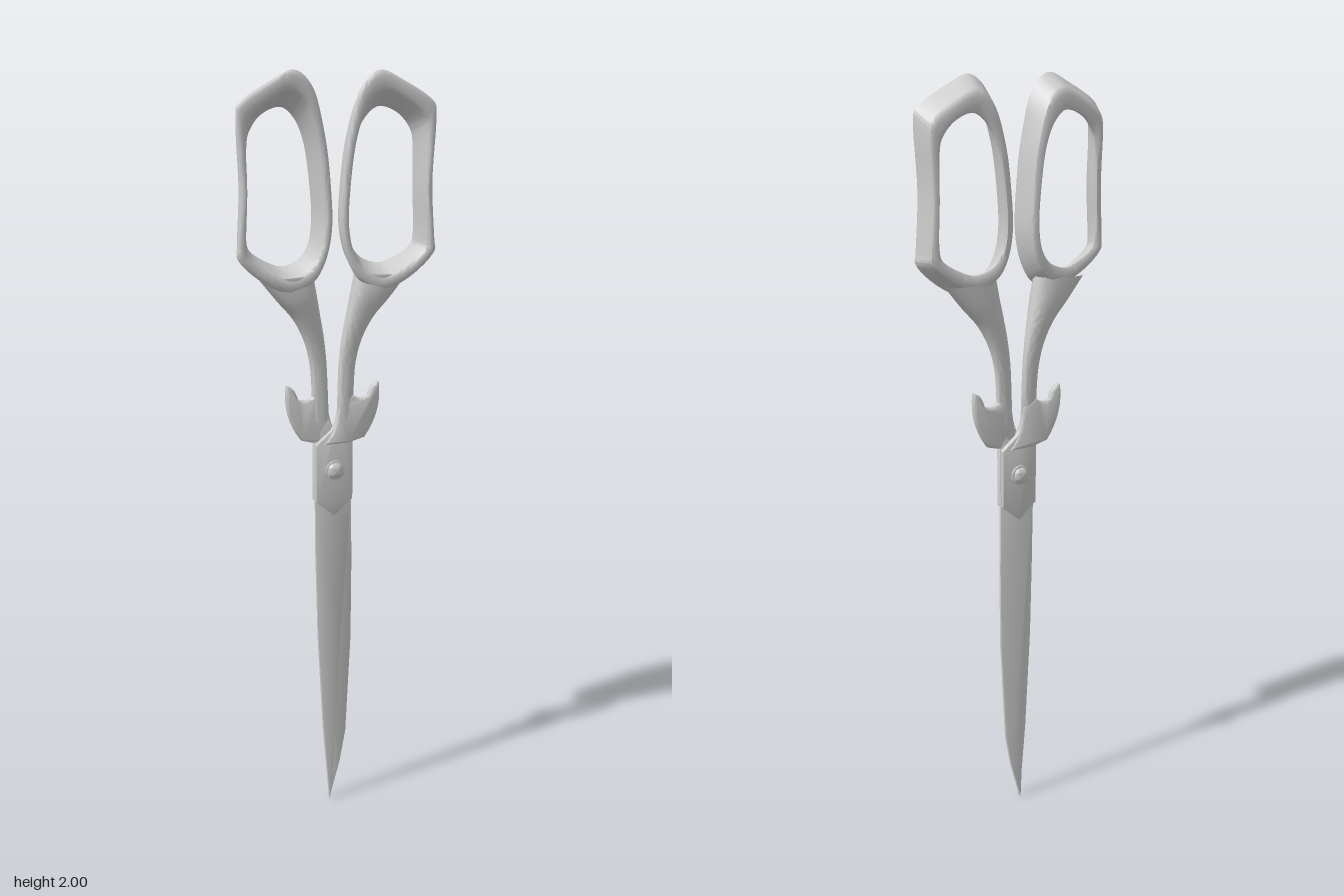
import * as THREE from 'three';
import { toCreasedNormals } from 'three/addons/utils/BufferGeometryUtils.js';

const MID = -0.012; // plane where the two halves touch
const material = new THREE.MeshStandardMaterial({ color: 0xcccccc, side: THREE.DoubleSide });

function part(name, geometry, crease = 0.6) {
  const mesh = new THREE.Mesh(toCreasedNormals(geometry, crease), material);
  mesh.name = name;
  return mesh;
}

// Skin over a list of rings of points; side = -1 mirrors it in x
function loft(rings, closed, side, shiftZ) {
  const n = rings[0].length, pos = [], index = [];
  rings.forEach(r => r.forEach(p => pos.push(p[0] * side, p[1], p[2] + shiftZ)));
  const count = closed ? rings.length : rings.length - 1;
  for (let i = 0; i < count; i++) {
    for (let j = 0; j < n; j++) {
      const i2 = (i + 1) % rings.length, j2 = (j + 1) % n;
      const a = i * n + j, b = i * n + j2, c = i2 * n + j, d = i2 * n + j2;
      if (side > 0) index.push(a, b, c, b, d, c);
      else index.push(a, c, b, b, c, d);
    }
  }
  const g = new THREE.BufferGeometry();
  g.setAttribute('position', new THREE.Float32BufferAttribute(pos, 3));
  g.setIndex(index);
  g.computeVertexNormals();
  return g;
}

// Flat part with bevelled edges between z0 and z1
function slab(shape, z0, z1, bevel) {
  const g = new THREE.ExtrudeGeometry(shape, {
    depth: z1 - z0 - 2 * bevel, bevelEnabled: true, bevelThickness: bevel,
    bevelSize: bevel, bevelOffset: -bevel, bevelSegments: 2, curveSegments: 8,
  });
  return g.translate(0, 0, z0 + bevel);
}
const polygon = (pts, side = 1) => new THREE.Shape(pts.map(([x, y]) => new THREE.Vector2(x * side, y)));

// Finger loop: outer x, y and inner x, y at stations around the ring
const LOOP = [
  [0.11, 2.0, 0.13, 1.91], [0.17, 1.977, 0.185, 1.89], [0.26, 1.92, 0.216, 1.85],
  [0.265, 1.9, 0.222, 1.825], [0.256, 1.72, 0.225, 1.7], [0.265, 1.57, 0.227, 1.585],
  [0.267, 1.545, 0.22, 1.558], [0.195, 1.478, 0.17, 1.525], [0.12, 1.45, 0.13, 1.513],
  [0.06, 1.475, 0.08, 1.53], [0.03, 1.52, 0.055, 1.565], [0.01, 1.6, 0.045, 1.62],
  [0.013, 1.72, 0.048, 1.7], [0.03, 1.85, 0.068, 1.83], [0.065, 1.965, 0.095, 1.885],
];
// Loop cross-section: share of the way from outer to inner, share from back to front
const SECTION = [
  [0, 0.88], [0.05, 0.96], [0.16, 1], [0.42, 1], [0.54, 0.95], [0.6, 0.86],
  [1, 0.14], [0.98, 0.05], [0.88, 0], [0.58, 0], [0.42, 0.05], [0.36, 0.14],
];
function loopGeometry(side, shiftZ) {
  const curve = k => new THREE.CatmullRomCurve3(
    LOOP.map(p => new THREE.Vector3(p[k], p[k + 1], 0)), true, 'centripetal');
  const outer = curve(0), inner = curve(2), rings = [], N = LOOP.length * 6;
  for (let i = 0; i < N; i++) {
    const o = outer.getPoint(i / N), q = inner.getPoint(i / N);
    const front = 0.034 + 0.06 * Math.min(o.x, 0.18), back = -0.036 + 0.06 * o.x;
    rings.push(SECTION.map(([t, f]) => [
      o.x + (q.x - o.x) * t, o.y + (q.y - o.y) * t, back + (front - back) * f]));
  }
  return loft(rings, true, side, shiftZ);
}

// Shank: inner edge x, y, front z, then outer edge x, y, back z
const SHANK = [
  [0.056, 1.492, 0.04, 0.2, 1.485, -0.03], [0.046, 1.44, 0.038, 0.15, 1.425, -0.029],
  [0.036, 1.39, 0.028, 0.106, 1.375, -0.025], [0.024, 1.33, 0.018, 0.077, 1.32, -0.02],
  [0.015, 1.26, 0.011, 0.061, 1.26, -0.016], [0.011, 1.18, 0.009, 0.055, 1.18, -0.013],
  [0.008, 1.1, 0.008, 0.055, 1.1, -0.012],
];
function shankGeometry(side, shiftZ) {
  const curve = k => new THREE.CatmullRomCurve3(
    SHANK.map(p => new THREE.Vector3(p[k], p[k + 1], p[k + 2])));
  const inner = curve(0), outer = curve(3), rings = [], N = 36, M = 24;
  const soft = v => Math.sign(v) * Math.abs(v) ** 0.8;
  for (let i = 0; i <= N; i++) {
    const a = inner.getPoint(i / N), b = outer.getPoint(i / N), ring = [];
    for (let j = 0; j < M; j++) {
      const w = 2 * Math.PI * j / M, c = (1 + soft(Math.cos(w))) / 2, s = (1 + soft(Math.sin(w))) / 2;
      ring.push([a.x + (b.x - a.x) * c, a.y + (b.y - a.y) * c, b.z + (a.z - b.z) * s]);
    }
    rings.push(ring);
  }
  return loft(rings, false, side, shiftZ);
}

// Curved spur beside the pivot
function spurShape(s) {
  const shape = new THREE.Shape();
  shape.moveTo(0.012 * s, 1.15);
  shape.lineTo(0.05 * s, 1.172);
  shape.quadraticCurveTo(0.07 * s, 1.152, 0.095 * s, 1.164);
  shape.quadraticCurveTo(0.105 * s, 1.2, 0.126 * s, 1.202);
  shape.quadraticCurveTo(0.138 * s, 1.12, 0.085 * s, 1.052);
  shape.lineTo(0.04 * s, 1.04);
  shape.lineTo(-0.03 * s, 1.04);
  shape.quadraticCurveTo(0.008 * s, 1.08, 0.012 * s, 1.15);
  return shape;
}

const PLATE = [[-0.052, 1.04], [-0.052, 0.885], [0, 0.842], [0.052, 0.885], [0.052, 1.05],
  [0.012, 1.11], [-0.008, 1.075]];

// Blade outlines: spine down to the tip, then the cutting edge back up
const FRONT_BLADE = [[-0.052, 0.92], [-0.051, 0.75], [-0.045, 0.5], [-0.03, 0.22], [-0.011, 0],
  [-0.004, 0.05], [0.006, 0.25], [0.022, 0.52], [0.046, 0.82], [0.05, 0.92]];
const BACK_BLADE = [[0.054, 0.92], [0.056, 0.7], [0.054, 0.48], [0.039, 0.2], [0.022, 0.11],
  [-0.009, 0], [-0.012, 0.06], [-0.018, 0.25], [-0.03, 0.52], [-0.045, 0.82], [-0.05, 0.92]];

// One half: side 1 is the front half, side -1 the back half
function half(side) {
  const g = new THREE.Group();
  g.name = side > 0 ? 'frontHalf' : 'backHalf';
  const shift = side > 0 ? 0 : -0.018;
  const layer = t => (side > 0 ? [MID, MID + t] : [MID - t, MID]);
  g.add(
    part('fingerLoop', loopGeometry(side, shift), 0.7),
    part('shank', shankGeometry(side, shift), 1),
    part('spur', slab(spurShape(side), ...layer(0.02), 0.006), 0.8),
    part('pivotPlate', slab(polygon(PLATE, side), ...layer(0.016), 0.003)),
    part('blade', slab(polygon(side > 0 ? FRONT_BLADE : BACK_BLADE), ...layer(0.008), 0.0015)),
  );
  return g;
}

export function createModel() {
  const model = new THREE.Group();
  model.name = 'scissors';
  model.add(half(1), half(-1));

  // Pivot screw with a stepped domed head on each face
  const profile = [[0, -0.033], [0.012, -0.032], [0.019, -0.027], [0.021, -0.022], [0.027, -0.021],
    [0.027, 0.021], [0.021, 0.022], [0.019, 0.027], [0.012, 0.032], [0, 0.033]]
    .map(([r, h]) => new THREE.Vector2(r, h));
  const screw = part('pivotScrew', new THREE.LatheGeometry(profile, 28).rotateX(Math.PI / 2));
  screw.position.set(0, 0.968, MID);
  model.add(screw);
  return model;
}
